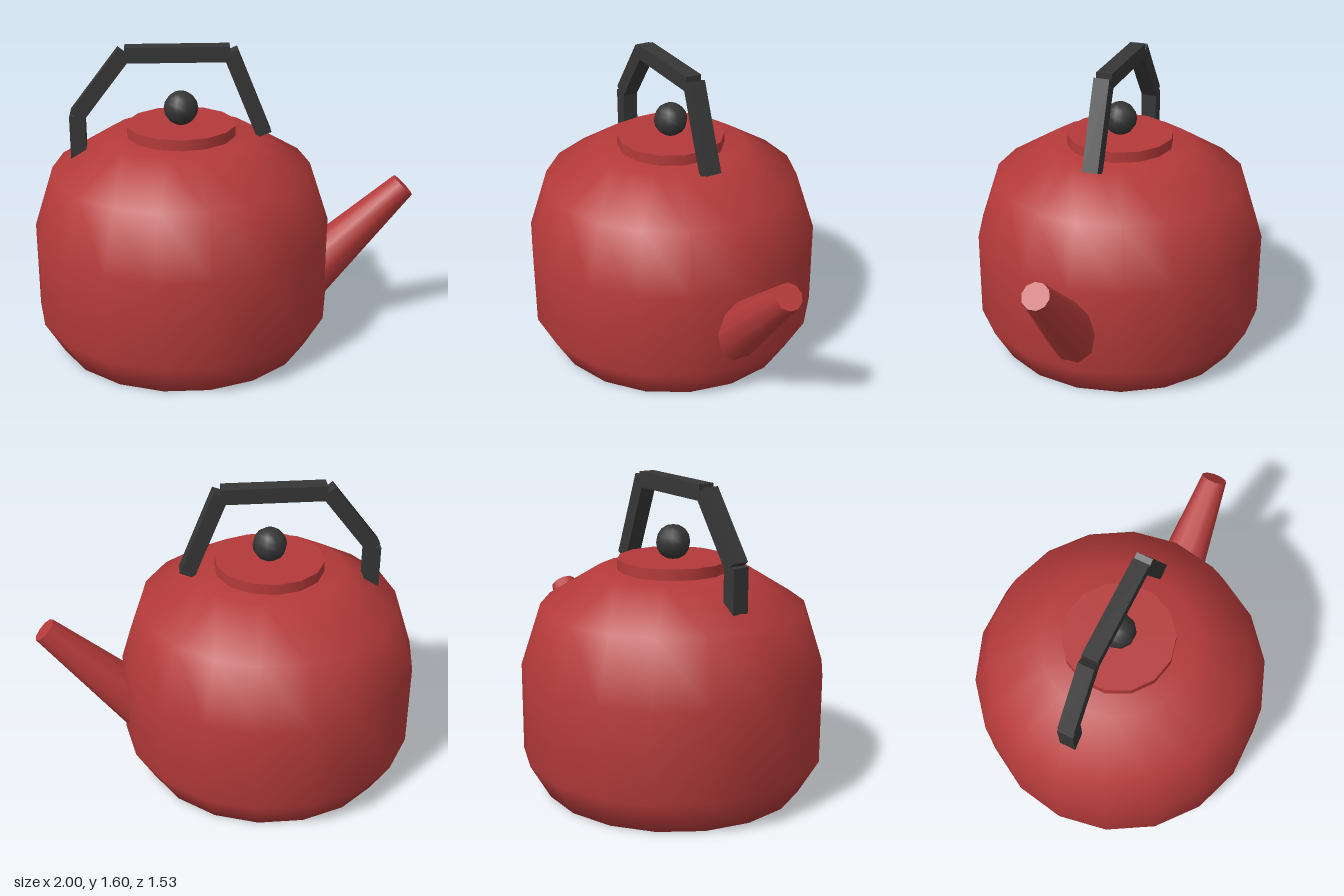
import * as THREE from 'three';

const CX = -0.225; // axis of body, lid and knob

export function createModel() {
  const red = new THREE.MeshStandardMaterial({ color: 0xb53a3a });
  red.name = 'red enamel';
  const black = new THREE.MeshStandardMaterial({ color: 0x363636 });
  black.name = 'black grip';

  const model = new THREE.Group();
  model.name = 'kettle';
  const add = (parent, name, geometry, material, x = 0, y = 0, z = 0) => {
    const mesh = new THREE.Mesh(geometry, material);
    mesh.name = name;
    mesh.position.set(x, y, z);
    parent.add(mesh);
    return mesh;
  };
  const UP = new THREE.Vector3(0, 1, 0);

  // Body: closed, smooth-shaded 18-sided vessel with corners on the x axis
  const profile = [
    [0, 0], [0.673, 0], [0.777, 0.18], [0.777, 0.64],
    [0.673, 0.96], [0.39, 1.135], [0, 1.135],
  ].map(([r, y]) => new THREE.Vector2(r, y));
  add(model, 'body', new THREE.LatheGeometry(profile, 18, Math.PI / 2), red, CX);

  // Lid and its knob
  add(model, 'lid', new THREE.CylinderGeometry(0.284, 0.284, 0.065, 14), red, CX, 1.159);
  add(model, 'knob', new THREE.SphereGeometry(0.089, 10, 8), black, CX, 1.272);

  // Spout: tapered tube rising at 45 degrees, its base sunk into the body
  const base = new THREE.Vector3(0.425, 0.3, 0);
  const tip = new THREE.Vector3(0.95, 0.825, 0);
  const axis = tip.clone().sub(base);
  const spout = add(model, 'spout', new THREE.CylinderGeometry(0.07, 0.148, axis.length(), 10), red);
  spout.position.copy(base).lerp(tip, 0.5);
  spout.quaternion.setFromUnitVectors(UP, axis.normalize());

  // Handle: four straight square bars, butted end to end
  const handle = new THREE.Group();
  handle.name = 'handle';
  model.add(handle);
  const bars = [
    ['handleRearPost', -0.755, 0.97, -0.755, 1.245],
    ['handleRearSlope', -0.757, 1.243, -0.51, 1.565],
    ['handleGrip', -0.505, 1.56, 0.025, 1.56],
    ['handleFrontSlope', 0.027, 1.57, 0.202, 1.132],
  ];
  for (const [name, x1, y1, x2, y2] of bars) {
    const dx = x2 - x1, dy = y2 - y1;
    const bar = add(handle, name, new THREE.BoxGeometry(0.08, Math.hypot(dx, dy), 0.084), black,
      (x1 + x2) / 2, (y1 + y2) / 2);
    bar.rotation.z = Math.atan2(dy, dx) - Math.PI / 2;
  }

  return model;
}
